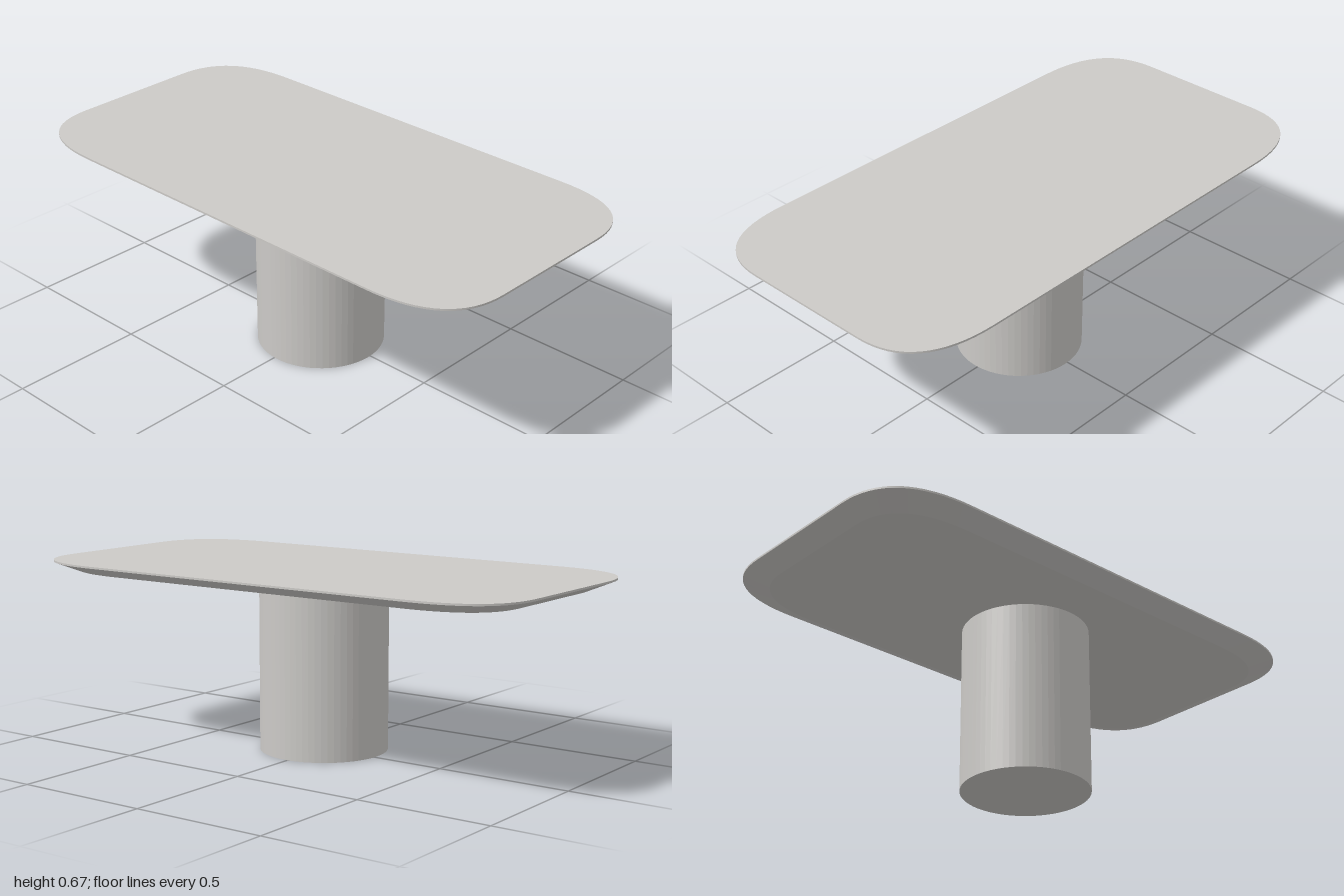
import * as THREE from 'three';

// Rounded rectangle outline with soft, curved corners
function outline(hx, hz, cx, cz) {
  const s = new THREE.Shape();
  s.moveTo(hx, -hz + cz);
  s.lineTo(hx, hz - cz);
  s.quadraticCurveTo(hx, hz, hx - cx, hz);
  s.lineTo(-hx + cx, hz);
  s.quadraticCurveTo(-hx, hz, -hx, hz - cz);
  s.lineTo(-hx, -hz + cz);
  s.quadraticCurveTo(-hx, -hz, -hx + cx, -hz);
  s.lineTo(hx - cx, -hz);
  s.quadraticCurveTo(hx, -hz, hx, -hz + cz);
  const pts = s.getPoints(16);
  pts.pop(); // the last point repeats the first
  return pts;
}

// Side band between two matching outlines, smooth around the perimeter
function band(low, yLow, high, yHigh) {
  const n = low.length, pos = [], index = [];
  for (const [pts, y] of [[low, yLow], [high, yHigh]]) {
    for (const p of pts) pos.push(p.x, y, -p.y);
  }
  for (let i = 0; i < n; i++) {
    const j = (i + 1) % n;
    index.push(i, j, n + j, i, n + j, n + i);
  }
  const g = new THREE.BufferGeometry();
  g.setAttribute('position', new THREE.Float32BufferAttribute(pos, 3));
  g.setIndex(index);
  g.computeVertexNormals();
  return g;
}

// Flat face filling an outline, turned up or down
function cap(pts, y, up) {
  const g = new THREE.ShapeGeometry(new THREE.Shape(pts));
  g.rotateX(up ? -Math.PI / 2 : Math.PI / 2);
  return g.translate(0, y, 0);
}

export function createModel() {
  const group = new THREE.Group();
  group.name = 'pedestalTable';
  const stone = new THREE.MeshStandardMaterial({ color: 0xcccac7 });
  stone.name = 'pale grey';

  const add = (parent, name, geometry, material) => {
    const mesh = new THREE.Mesh(geometry, material);
    mesh.name = name;
    parent.add(mesh);
    return mesh;
  };

  // Table top: thin upright lip over a wide bevel cut in underneath
  const yBottom = 0.628, yLip = 0.663, yTop = 0.67;
  const outer = outline(1, 0.505, 0.33, 0.26);
  const inner = outline(0.92, 0.43, 0.3, 0.22);
  const top = new THREE.Group();
  top.name = 'tableTop';
  group.add(top);
  add(top, 'topSurface', cap(outer, yTop, true), stone);
  add(top, 'topLip', band(outer, yLip, outer, yTop), stone);
  add(top, 'topBevel', band(inner, yBottom, outer, yLip), stone);
  add(top, 'topUnderside', cap(inner, yBottom, false), stone);

  // Round pedestal with fine flat facets, set slightly off centre
  const facets = new THREE.CylinderGeometry(0.234, 0.234, yBottom, 64).toNonIndexed();
  facets.computeVertexNormals();
  const pedestal = add(group, 'pedestal', facets, stone);
  pedestal.position.set(0.01, yBottom / 2, 0.013);

  return group;
}
